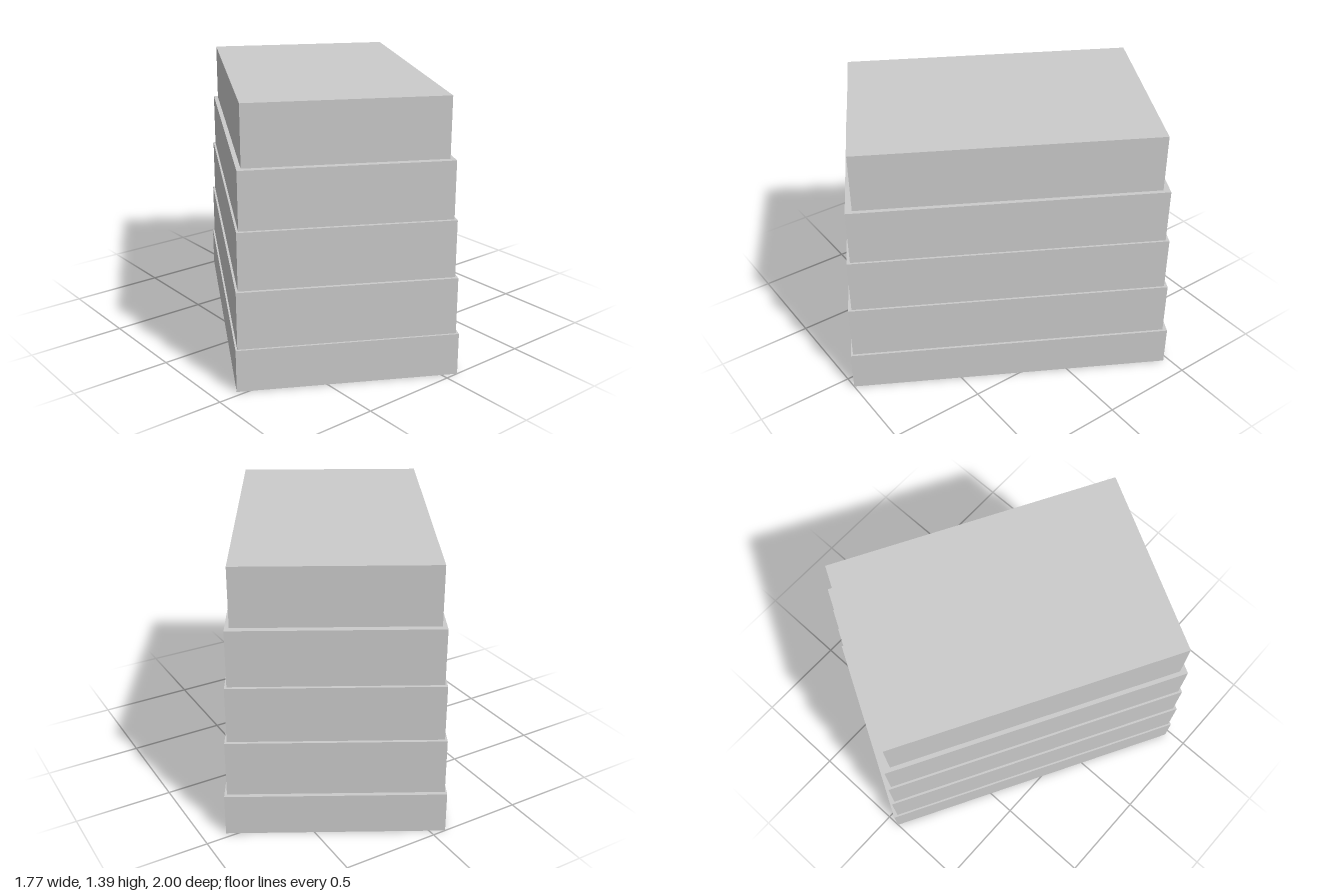
import * as THREE from 'three';

// Stack of rectangular tiers, each a little smaller than the one below
export function createModel() {
  const group = new THREE.Group();
  group.name = 'steppedBlock';
  const material = new THREE.MeshStandardMaterial({ color: 0xcccccc, flatShading: true });

  const width = 1.092, depth = 1.681, turn = -0.506;
  const levels = [0, 0.217, 0.508, 0.798, 1.088, 1.39];
  const scales = [1, 0.98, 0.96, 0.94, 0.9];

  scales.forEach((s, i) => {
    const height = levels[i + 1] - levels[i];
    const tier = new THREE.Mesh(new THREE.BoxGeometry(width * s, height, depth * s), material);
    tier.name = `tier${i + 1}`;
    // the upper tiers sit slightly off the base's centre
    const shift = i === 0 ? 0 : 0.004;
    tier.position.set(-shift, levels[i] + height / 2, shift);
    tier.rotation.y = turn;
    group.add(tier);
  });

  return group;
}
